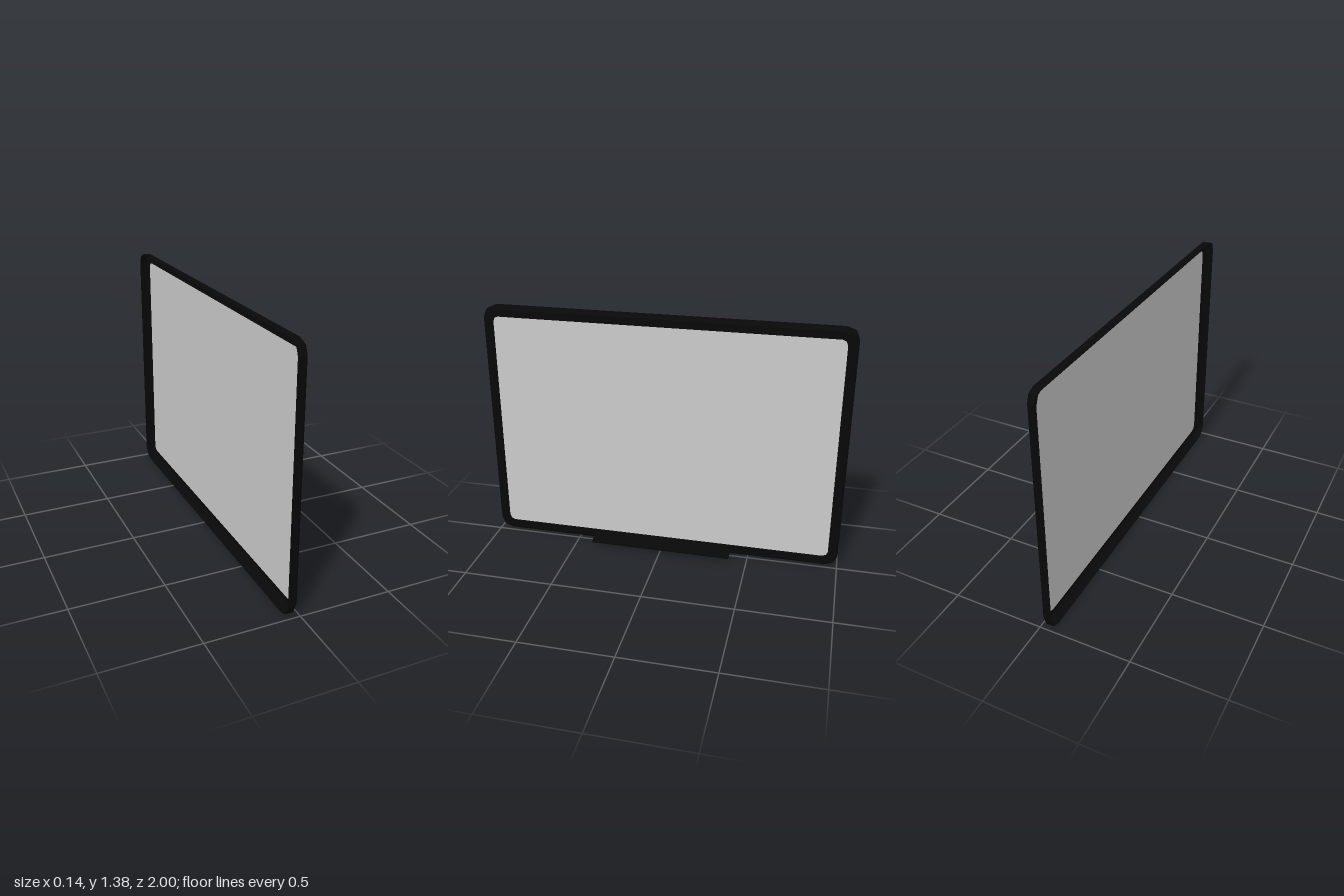
import * as THREE from 'three';

const HALF_W = 1, HALF_H = 0.6875, MID_Y = 0.6875;

// Rounded outline of the board inset by a distance: [z, y] pairs, counter-clockwise seen from +x
function outline(inset, radius, segments = 2) {
  const points = [];
  const w = HALF_W - inset - radius, h = HALF_H - inset - radius;
  const corners = [[1, 1], [-1, 1], [-1, -1], [1, -1]];
  corners.forEach(([su, sv], c) => {
    for (let i = 0; i <= segments; i++) {
      const a = (c + i / segments) * Math.PI / 2;
      points.push([-(su * w + radius * Math.cos(a)), MID_Y + sv * h + radius * Math.sin(a)]);
    }
  });
  return points;
}

// Open-backed frame lofted from the rear rim to the inner lip
function frameGeometry() {
  const sections = [
    [-0.07, 0, 0.065],
    [-0.03, 0, 0.065],
    [-0.015, 0.015, 0.055],
    [-0.015, 0.055, 0.03],
    [-0.027, 0.055, 0.03],
  ];
  const positions = [], index = [];
  let n = 0;
  for (const [x, inset, radius] of sections) {
    const ring = outline(inset, radius);
    n = ring.length;
    for (const [z, y] of ring) positions.push(x, y, z);
  }
  for (let s = 0; s < sections.length - 1; s++) {
    for (let j = 0; j < n; j++) {
      const k = (j + 1) % n;
      const a = s * n + j, b = s * n + k, c = (s + 1) * n + k, d = (s + 1) * n + j;
      index.push(a, b, c, a, c, d);
    }
  }
  const geometry = new THREE.BufferGeometry();
  geometry.setAttribute('position', new THREE.Float32BufferAttribute(positions, 3));
  geometry.setIndex(index);
  const flat = geometry.toNonIndexed();
  flat.computeVertexNormals();
  return flat;
}

export function createModel() {
  const model = new THREE.Group();
  model.name = 'whiteboard';
  const black = new THREE.MeshStandardMaterial({ color: 0x080808, flatShading: true, side: THREE.DoubleSide });
  const grey = new THREE.MeshStandardMaterial({ color: 0xcccccc, side: THREE.DoubleSide });

  const add = (name, geometry, material) => {
    const mesh = new THREE.Mesh(geometry, material);
    mesh.name = name;
    model.add(mesh);
    return mesh;
  };

  add('frame', frameGeometry(), black);

  // Thin writing surface, turned to face +x
  const shape = new THREE.Shape(outline(0.055, 0.03).map(([z, y]) => new THREE.Vector2(-z, y)));
  const panel = add('writingSurface', new THREE.ShapeGeometry(shape), grey);
  panel.rotation.y = Math.PI / 2;
  panel.position.x = -0.027;

  // Wedge-shaped pen tray
  const wedge = new THREE.Shape([
    new THREE.Vector2(-0.015, 0.02),
    new THREE.Vector2(0.07, 0.02),
    new THREE.Vector2(0.07, 0.03),
    new THREE.Vector2(-0.015, 0.055),
  ]);
  const tray = add('penTray', new THREE.ExtrudeGeometry(wedge, { depth: 0.8, bevelEnabled: false }), black);
  tray.position.z = -0.4;

  return model;
}
